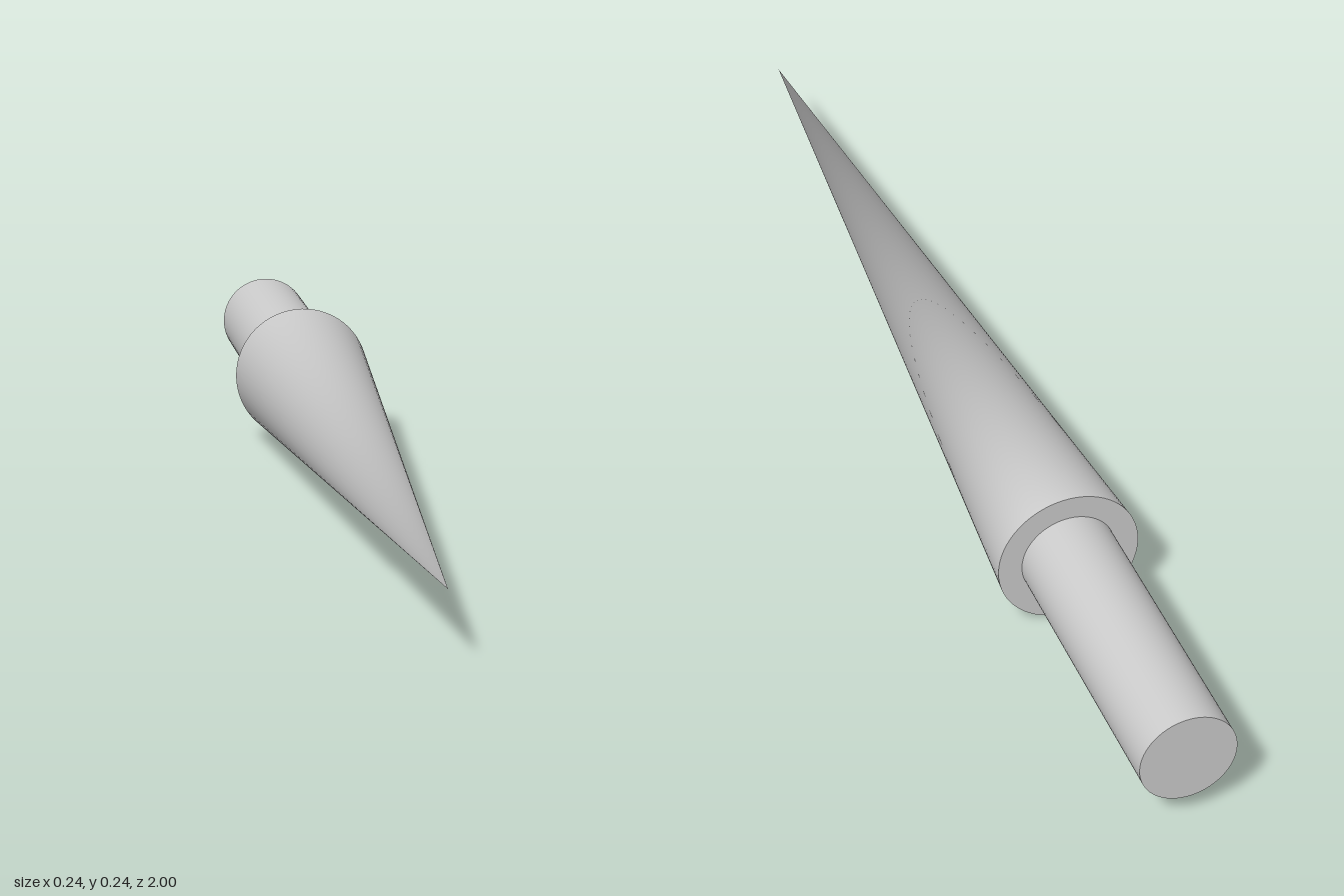
import * as THREE from 'three';

const SEGMENTS = 64;
const CENTRE_Y = 0.12;

export function createModel() {
  const group = new THREE.Group();
  const material = new THREE.MeshStandardMaterial({ color: 0xcccccc });

  // Lays a y-axis solid along z, spanning zBack to zFront
  const addAlongZ = (name, geometry, zBack, zFront) => {
    geometry.rotateX(Math.PI / 2);
    const mesh = new THREE.Mesh(geometry, material);
    mesh.name = name;
    mesh.position.set(0, CENTRE_Y, (zBack + zFront) / 2);
    group.add(mesh);
  };

  // Long pointed head; its apex shades smoothly as one shared forward normal
  const head = new THREE.ConeGeometry(0.12, 1.5, SEGMENTS);
  const { position, normal } = head.attributes;
  for (let i = 0; i < position.count; i++) {
    if (position.getY(i) > 0) normal.setXYZ(i, 0, 1, 0);
    else if (normal.getY(i) > -0.5) {
      // Purely radial normals around the rim
      normal.setXYZ(i, position.getX(i) / 0.12, 0, position.getZ(i) / 0.12);
    }
  }
  addAlongZ('pointedHead', head, -0.5, 1);

  // Narrower round shank behind the head
  addAlongZ('shank', new THREE.CylinderGeometry(0.08, 0.08, 0.5, SEGMENTS), -1, -0.5);

  return group;
}
